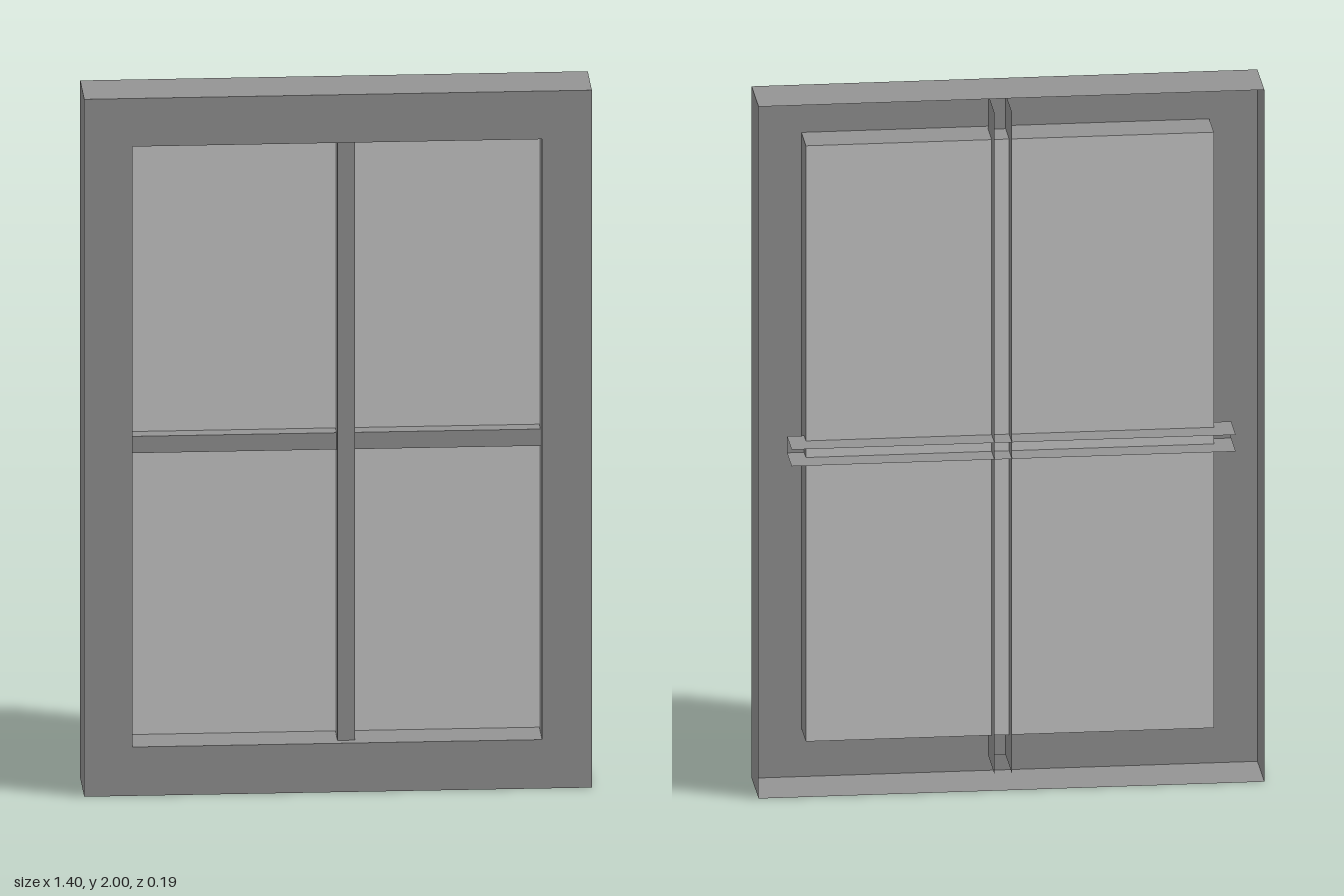
import * as THREE from 'three';

const frameMaterial = new THREE.MeshStandardMaterial({ color: 0x949494, side: THREE.DoubleSide, flatShading: true });
const paneMaterial = new THREE.MeshStandardMaterial({ color: 0xcccccc, side: THREE.DoubleSide });

// Skin of flat quads stretched over rows of [x, y, z] points
function skin(name, rows, closed = false) {
  const positions = [];
  for (let r = 0; r < rows.length - 1; r++) {
    const n = rows[r].length;
    for (let i = 0; i < (closed ? n : n - 1); i++) {
      const j = (i + 1) % n;
      const [a, b, c, d] = [rows[r][i], rows[r][j], rows[r + 1][j], rows[r + 1][i]];
      positions.push(...a, ...b, ...c, ...a, ...c, ...d);
    }
  }
  const geometry = new THREE.BufferGeometry();
  geometry.setAttribute('position', new THREE.Float32BufferAttribute(positions, 3));
  geometry.computeVertexNormals();
  const mesh = new THREE.Mesh(geometry, frameMaterial);
  mesh.name = name;
  return mesh;
}

// Rectangular loop, counter-clockwise from the front
const loop = ({ x0, x1, y0, y1 }, z) => [[x0, y0, z], [x1, y0, z], [x1, y1, z], [x0, y1, z]];

// U-shaped bar profile, open to the back: pairs of [across, z]
const channel = (from, to, back, front) => [[from, back], [from, front], [to, front], [to, back]];

export function createModel() {
  const group = new THREE.Group();
  group.name = 'window';

  const outer = { x0: -0.698, x1: 0.698, y0: 0, y1: 2 };
  const opening = { x0: -0.565, x1: 0.561, y0: 0.14, y1: 1.862 };
  const front = 0.095, frameBack = -0.084, barBack = -0.095, paneZ = -0.023;

  // Hollow frame: outer walls, front face and reveal, open at the back
  group.add(skin('frame', [
    loop(outer, frameBack),
    loop(outer, front),
    loop(opening, front),
    loop(opening, paneZ),
  ], true));

  // Glazing bars, running on into the hollow of the frame
  group.add(skin('verticalBar',
    channel(0, 0.048, barBack, 0.068).map(([x, z]) => [[x, 1.964, z], [x, 0.052, z]])));
  group.add(skin('horizontalBar',
    channel(0.961, 1.009, barBack, 0.023).map(([y, z]) => [[-0.618, y, z], [0.608, y, z]])));

  // Glass pane closing the back of the reveal
  const pane = new THREE.Mesh(
    new THREE.PlaneGeometry(opening.x1 - opening.x0, opening.y1 - opening.y0), paneMaterial);
  pane.position.set((opening.x0 + opening.x1) / 2, (opening.y0 + opening.y1) / 2, paneZ);
  pane.name = 'glassPane';
  group.add(pane);

  return group;
}
